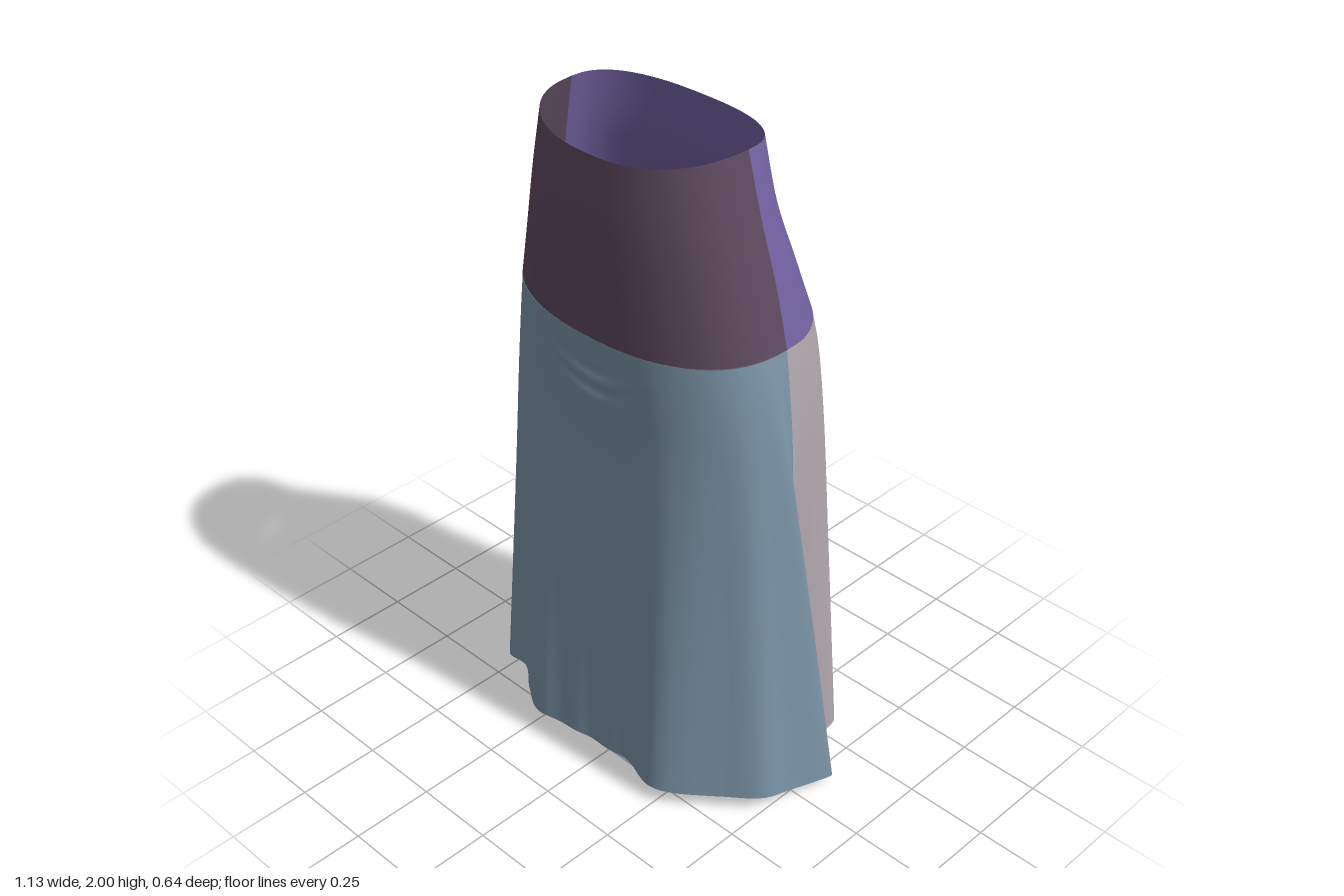
import * as THREE from 'three';

const { lerp, smoothstep } = THREE.MathUtils;

const material = (name, color) => {
  const m = new THREE.MeshStandardMaterial({ color, side: THREE.DoubleSide });
  m.name = name;
  return m;
};

// Half of a rounded body outline, from the +x seam over the middle to the -x seam.
// n steps per side; bunch > 1 gathers points near the seams.
function outline(n, halfWidth, seamZ, midZ, seamY, midY, bunch = 1) {
  const points = [];
  for (let i = -n; i <= n; i++) {
    const t = 1 - Math.abs(i) / n;
    const a = t ** bunch * Math.PI / 2;
    points.push(new THREE.Vector3(
      -Math.sign(i) * halfWidth * Math.cos(a) ** .83,
      lerp(seamY, midY, smoothstep(t, 0, 1)),
      seamZ + (midZ - seamZ) * Math.sin(a) ** .83));
  }
  return points;
}

// Hem outline from [x, z] pairs; the hem drops to the floor over four points at each seam.
const hemline = (y, pairs) => pairs.map(([x, z], i) =>
  new THREE.Vector3(x, y * Math.min(1, i / 4, (pairs.length - 1 - i) / 4), z));

// Cloth panel: smooth surface through rows of points, with an optional wrinkle rule.
function panel(name, mat, rows, nu, nv, wrinkle = () => 0) {
  const curves = rows.map(points => new THREE.CatmullRomCurve3(points));
  const pos = [], index = [];
  for (let i = 0; i <= nu; i++) {
    const column = new THREE.CatmullRomCurve3(curves.map(c => c.getPoint(i / nu)));
    for (let j = 0; j <= nv; j++) {
      const p = column.getPoint(j / nv);
      pos.push(p.x, p.y, p.z + wrinkle(p.x, p.y));
      if (i < nu && j < nv) {
        const a = i * (nv + 1) + j, b = a + nv + 1;
        index.push(a, b, a + 1, b, b + 1, a + 1);
      }
    }
  }
  const geo = new THREE.BufferGeometry();
  geo.setAttribute('position', new THREE.Float32BufferAttribute(pos, 3));
  geo.setIndex(index);
  geo.computeVertexNormals();
  const mesh = new THREE.Mesh(geo, mat);
  mesh.name = name;
  return mesh;
}

// Waistband rings: seam height, half width, seam z, front z, back z, front and back height offsets
const WAIST = [
  [2, .31, .04, .284, -.131, -.03, -.01],
  [1.82, .35, .03, .294, -.148, -.02, 0],
  [1.64, .393, .015, .295, -.207, -.018, .01],
  [1.475, .43, .01, .295, -.265, -.018, .03],
];

// Hip rings: fraction of the way to the hem, half width, seam z, front z, back z
const HIPS = [
  [0, .43, .01, .295, -.265],
  [.07, .44, .009, .288, -.275],
  [.21, .455, .004, .274, -.268],
  [.5, .46, 0, .265, -.262],
  [1, .47, 0, .27, -.27],
];

// Skirt rows: the hip outline blends into the hem outline on the way down
const skirtRows = (hem, zColumn, midY, bunch) => HIPS.map(ring => {
  const [s, halfWidth, seamZ] = ring;
  return outline((hem.length - 1) / 2, halfWidth, seamZ, ring[zColumn], 1.475, midY, bunch)
    .map((p, i) => p.lerp(hem[i], s));
});

export function createModel() {
  const plum = material('plum', 0x5e4a60);
  const purple = material('purple', 0x7262a2);
  const blue = material('dusty blue', 0x7d96a9);
  const grey = material('warm grey', 0xb3a9af);
  const group = new THREE.Group();
  group.name = 'skirt';

  // Waistband halves
  const frontWaist = WAIST.map(([y, w, sz, fz, , fy]) => outline(7, w, sz, fz, y, y + fy));
  const backWaist = WAIST.map(([y, w, sz, , bz, , by]) => outline(7, w, sz, bz, y, y + by));

  // Front hem: its edges flare out and curl back to the seams
  const frontHem = hemline(.05, [
    [.47, 0], [.5, -.045], [.562, -.112], [.525, .03], [.5, .12],
    [.41, .2], [.31, .28], [.23, .316], [.13, .287], [0, .29],
    [-.1, .3], [-.25, .316], [-.33, .27], [-.42, .205], [-.5, .2],
    [-.52, .05], [-.56, -.08], [-.49, -.04], [-.47, 0],
  ]);
  // Back hem: tucked in at the seams, wavy across the back
  const backHem = hemline(.08, [
    [.47, 0], [.42, -.09], [.43, -.19], [.435, -.265], [.38, -.298],
    [.18, -.319], [.1, -.302], [0, -.298], [-.085, -.27], [-.18, -.309],
    [-.28, -.275], [-.36, -.298], [-.44, -.292], [-.45, -.2], [-.42, -.09], [-.47, 0],
  ].toSpliced(7, 0, [.05, -.3]));

  // Small smile-shaped creases just under the front waistband
  const creases = (x, y) => {
    const d = y - 1.31 - 1.5 * x * x;
    return .005 * Math.sin(d * 95) * Math.exp(-((d / .055) ** 2) - (x / .12) ** 2);
  };
  // Faint vertical folds growing toward the hem
  const folds = (x, y) =>
    .0025 * Math.sin(x * 48) * Math.max(0, 1.1 - y) * Math.max(0, 1 - (x / .42) ** 2);

  group.add(
    panel('frontWaistband', plum, frontWaist, 64, 24),
    panel('backWaistband', purple, backWaist, 64, 24),
    panel('frontSkirtPanel', blue, skirtRows(frontHem, 3, 1.457, 1.4), 144, 90,
      (x, y) => creases(x, y) + folds(x, y)),
    panel('backSkirtPanel', grey, skirtRows(backHem, 4, 1.505, 1), 120, 60, folds),
  );
  return group;
}
